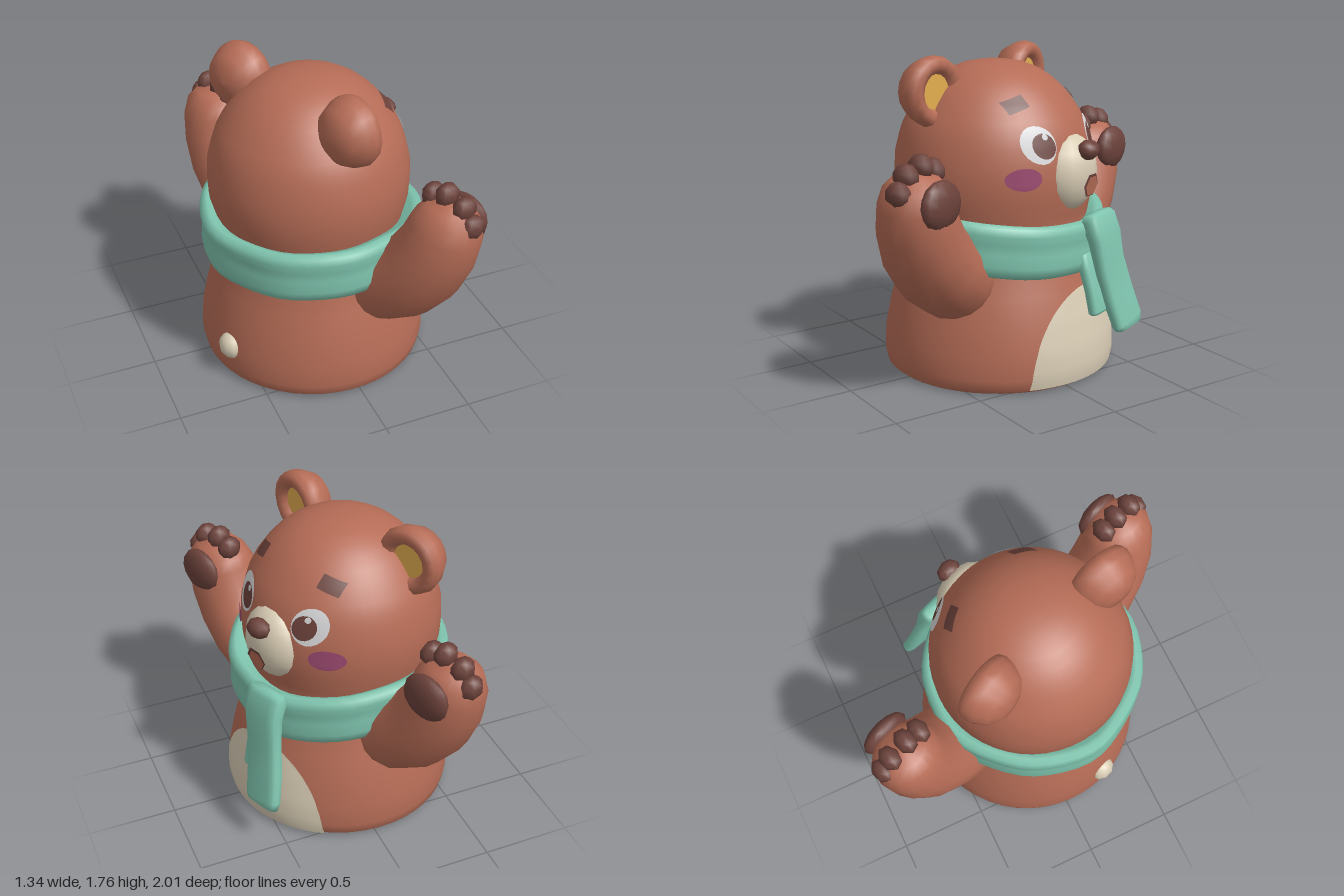
import * as THREE from 'three';
import { mergeVertices } from 'three/addons/utils/BufferGeometryUtils.js';

const mat = (name, color) => new THREE.MeshStandardMaterial({ name, color });

// Body outline as [height, radius]
const PROFILE = [[0, .61], [.02, .635], [.08, .647], [.2, .64], [.35, .61], [.5, .57], [.65, .52], [.8, .505],
  [.9, .525], [1, .55], [1.1, .555], [1.2, .55], [1.3, .525], [1.36, .505], [1.42, .475], [1.5, .42], [1.56, .368],
  [1.61, .31], [1.65, .245], [1.68, .17], [1.695, .09], [1.7, 0]];

function radiusAt(y) {
  const i = Math.max(1, PROFILE.findIndex(p => p[0] >= y));
  const [y0, r0] = PROFILE[i - 1], [y1, r1] = PROFILE[i];
  return r0 + (r1 - r0) * (y - y0) / (y1 - y0);
}
// The head sits slightly behind the base
const shiftAt = y => -.025 * THREE.MathUtils.smoothstep(y, .5, 1);

// Smooth surface through a grid of points; outside is di x dj
function grid(ni, nj, fn) {
  const pos = [], idx = [];
  for (let i = 0; i <= ni; i++) for (let j = 0; j <= nj; j++) pos.push(...fn(i, j));
  for (let i = 0; i < ni; i++) for (let j = 0; j < nj; j++) {
    const a = i * (nj + 1) + j, b = a + nj + 1;
    idx.push(a, b, a + 1, b, b + 1, a + 1);
  }
  let g = new THREE.BufferGeometry();
  g.setAttribute('position', new THREE.Float32BufferAttribute(pos, 3));
  g.setIndex(idx);
  g = mergeVertices(g, 1e-5);
  g.computeVertexNormals();
  return g;
}

// Sweep through [x, y, z, half width, half depth]; power below 1 squares the section
function sweep(points, sides, power = 1) {
  const c = points.map(p => new THREE.Vector3(p[0], p[1], p[2]));
  const soft = v => Math.sign(v) * Math.abs(v) ** power;
  return grid(points.length - 1, sides, (i, j) => {
    const t = c[Math.min(i + 1, c.length - 1)].clone().sub(c[Math.max(i - 1, 0)]).normalize();
    const b = t.clone().cross(new THREE.Vector3(0, 0, 1)).normalize();
    const n = b.clone().cross(t);
    const a = (j % sides) / sides * Math.PI * 2;
    return c[i].clone().addScaledVector(b, points[i][3] * soft(Math.cos(a)))
      .addScaledVector(n, points[i][4] * soft(Math.sin(a))).toArray();
  });
}

// Thin painted patch lying on the front of the body; at(u, v) gives x, y
function patch(nu, nv, lift, at) {
  return grid(nu, nv, (i, j) => {
    const [x, y] = at(i / nu * 2 - 1, j / nv);
    const r = radiusAt(y) + lift;
    return [x, y, shiftAt(y) + Math.sqrt(Math.max(0, r * r - x * x))];
  });
}
const oval = (cx, cy, rx, ry, lift) => patch(6, 10, lift, (u, v) =>
  [cx + u * rx * Math.sin(Math.PI * v), cy - ry * Math.cos(Math.PI * v)]);

export function createModel() {
  const fur = mat('brown fur', 0xb56c56), dark = mat('dark brown', 0x6c423b), cream = mat('cream', 0xd8ccb4),
    teal = mat('teal scarf', 0x7fc4ae), yellow = mat('yellow ear', 0xe3ae50), pink = mat('pink cheek', 0x9c4a70),
    white = mat('eye white', 0xd6d6d8);
  const model = new THREE.Group();
  const bear = new THREE.Group();
  bear.name = 'bear';
  bear.position.set(-.035, 0, .03);
  bear.rotation.y = THREE.MathUtils.degToRad(111);
  model.add(bear);

  const add = (name, geo, m, parent = bear) => {
    const mesh = new THREE.Mesh(geo, m);
    mesh.name = name;
    parent.add(mesh);
    return mesh;
  };
  const ball = (name, m, p, s, w = 14, h = 10) => {
    const b = add(name, new THREE.SphereGeometry(1, w, h), m);
    b.position.set(...p);
    b.scale.set(...s);
  };

  // Body and head in one
  const N = 48;
  add('body', grid(N, PROFILE.length - 1, (i, j) => {
    const a = (i % N) / N * Math.PI * 2, [y, r] = PROFILE[j];
    return [r * Math.sin(a), y, r * Math.cos(a) + shiftAt(y)];
  }), fur);
  add('base', new THREE.CircleGeometry(.61, N).rotateX(Math.PI / 2), fur);
  add('belly', patch(16, 16, .009, (u, v) => {
    const a = v * Math.PI / 2;
    return [u * .41 * Math.cos(a), .02 + .5 * Math.sin(a)];
  }), cream);
  ball('tail', cream, [0, .2, -.615], [.08, .08, .07], 10, 8);

  // Muzzle, nose and mouth
  ball('muzzle', cream, [.003, 1.13, .455], [.195, .213, .145]);
  ball('nose', dark, [.01, 1.262, .58], [.072, .055, .058], 8, 6);
  const mouthRim = add('mouthRim', new THREE.CircleGeometry(.07, 6), dark);
  mouthRim.position.set(.006, 1.075, .602);
  const mouth = add('mouth', new THREE.CircleGeometry(.058, 6), fur);
  mouth.position.set(.01, 1.071, .605);
  mouthRim.rotation.x = mouth.rotation.x = .15;

  for (const s of [-1, 1]) {
    const side = s > 0 ? 'left' : 'right';
    // Eyes, brows and cheeks
    add(side + 'Eye', oval(s * .243, 1.31, .092, .098, .005), white);
    add(side + 'Iris', oval(s * .222, 1.303, .063, .066, .0075), dark);
    add(side + 'Glint', oval(s * .222 + .012, 1.35, .016, .016, .0095), white);
    add(side + 'Brow', patch(4, 4, .0095, (u, v) =>
      [s * .262 + u * .056, 1.512 - s * u * .018 + (v - .5) * .06]), dark);
    add(side + 'Cheek', oval(s * .345, 1.142, .08, .06, .009), pink);

    // Ear: thick cup with a coloured inside
    const ear = new THREE.Group();
    ear.name = side + 'Ear';
    ear.position.set(s * .422, 1.565, -.13);
    ear.rotation.y = s * .12;
    bear.add(ear);
    const cup = [[0, -.15], [.08, -.14], [.145, -.1], [.182, -.03], [.192, .02], [.178, .06], [.145, .075],
      [.108, .06], [.09, .025]].map(p => new THREE.Vector2(...p));
    add(side + 'EarCup', new THREE.LatheGeometry(cup, 16).rotateX(Math.PI / 2), fur, ear);
    add(side + 'EarInside', new THREE.CircleGeometry(.095, 16).translate(0, 0, .035), yellow, ear);

    // Raised arm; the left one swings a little further back
    const swing = s > 0 ? -.075 : 0;
    const arm = [[.3, .5, .06, .01, .01], [.37, .53, .06, .19, .2], [.52, .6, .07, .225, .24], [.665, .7, .08, .23, .24],
      [.775, .83, .09, .225, .23], [.845, .97, .105, .212, .212], [.875, 1.09, .12, .2, .19],
      [.88, 1.17, .125, .175, .16], [.88, 1.225, .13, .12, .11], [.88, 1.25, .13, .001, .001]];
    add(side + 'Arm', sweep(arm.map(([x, y, z, ...size], i) =>
      [s * x, y, z + swing * Math.min(1, i / 6), ...size]), 18), fur);
    // Paw pad and toes
    ball(side + 'PawPad', dark, [s * .868, 1.095, .275 + swing * .7], [.145, .128, .06], 12, 8);
    [[.76, 1.235], [.85, 1.27], [.965, 1.24], [1.025, 1.16]].forEach(([x, y], k) =>
      ball(side + 'Toe' + (k + 1), dark, [s * x, y, .14 + swing], [.058, .068, .075], 7, 5));
  }

  // Scarf ring with a lengthwise crease, dipping at the front
  const section = [[.47, -.12], [.56, -.15], [.6, -.135], [.618, -.08], [.608, -.015], [.612, .04], [.622, .09],
    [.612, .13], [.58, .145], [.55, .13], [.5, .1]];
  add('scarf', grid(N, section.length - 1, (i, j) => {
    const a = (i % N) / N * Math.PI * 2, [r, y] = section[j];
    const wave = .006 * Math.sin(a * 5) + .004 * Math.sin(a * 9);
    const cy = .788 - .03 * Math.cos(a) - .023 * Math.cos(2 * a);
    return [(r + wave) * Math.sin(a) - .015, cy + y, (r + wave) * Math.cos(a) - .02];
  }), teal);

  // Hanging scarf ends
  add('scarfFrontEnd', sweep([[.085, .915, .595, .01, .01], [.085, .91, .596, .11, .035], [.086, .88, .602, .13, .055],
    [.093, .78, .64, .125, .052], [.115, .63, .662, .12, .042], [.15, .46, .695, .122, .045],
    [.183, .3, .742, .122, .04], [.186, .265, .752, .11, .03], [.186, .255, .754, .01, .01]], 16, .6), teal);
  add('scarfBackEnd', sweep([[.03, .7, .57, .01, .01], [.03, .69, .572, .09, .035], [.03, .6, .6, .09, .035],
    [.033, .5, .63, .09, .035], [.04, .385, .655, .095, .035], [.041, .37, .66, .08, .025],
    [.041, .366, .66, .01, .01]], 16, .6), teal);

  return model;
}
